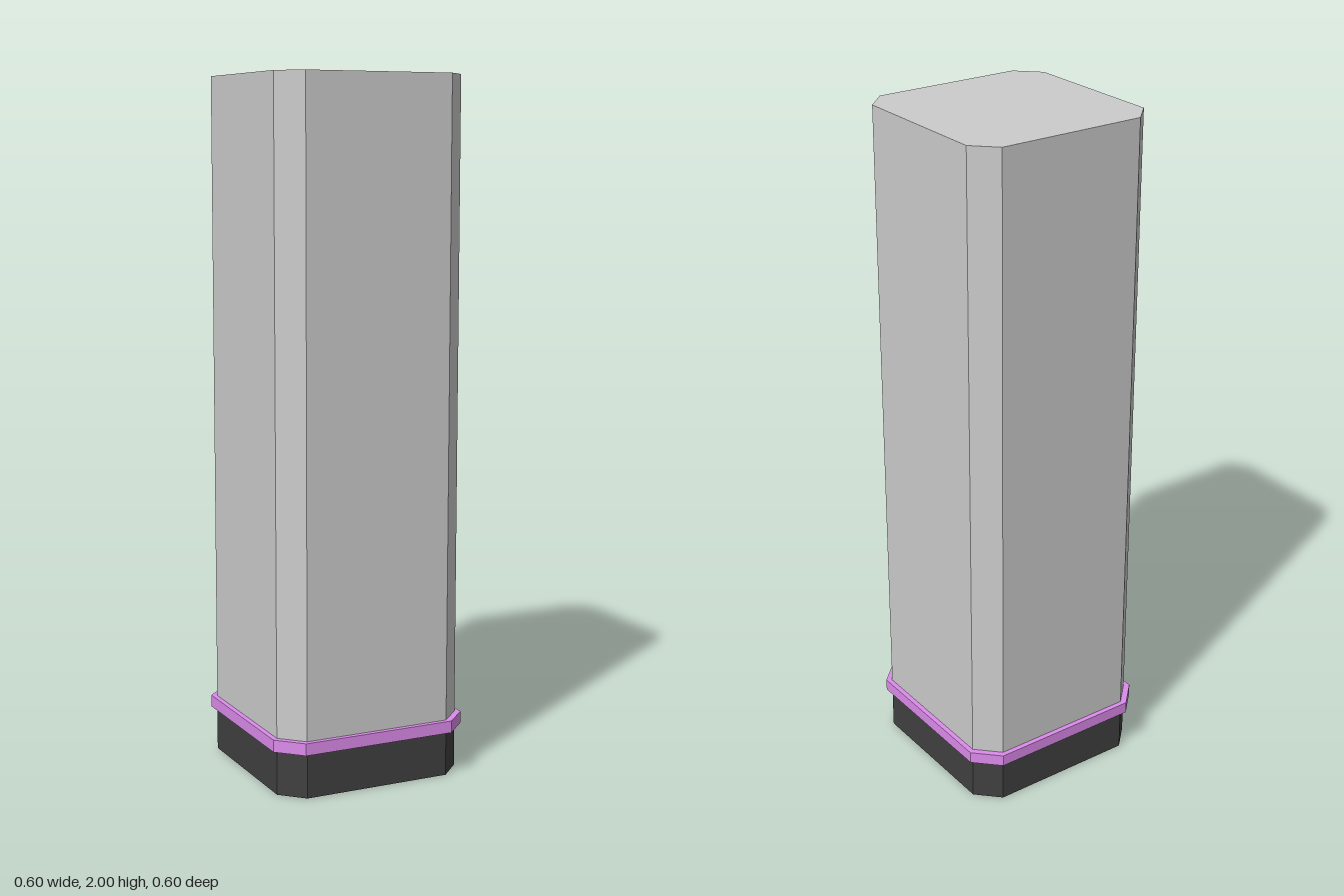
import * as THREE from 'three';

// Square with cut corners: h = half width, f = half length of the flat side
const octagon = (h, f, y) => [
  [f, h], [h, f], [h, -f], [f, -h], [-f, -h], [-h, -f], [-h, f], [-f, h],
].map(([x, z]) => [x, y, z]);

const body = (y) => octagon(0.285, 0.221, y);
const rim = (y) => octagon(0.3, 0.231, y);

// Thin shell joining a stack of cross-sections from bottom to top, with an optional lid
function shell(name, color, sections, lid = false) {
  const points = [];
  for (let s = 0; s < sections.length - 1; s++) {
    const low = sections[s], high = sections[s + 1];
    for (let i = 0; i < 8; i++) {
      const j = (i + 1) % 8;
      points.push(low[i], low[j], high[j], low[i], high[j], high[i]);
    }
  }
  if (lid) {
    const top = sections[sections.length - 1];
    for (let i = 1; i < 7; i++) points.push(top[0], top[i], top[i + 1]);
  }
  const geometry = new THREE.BufferGeometry();
  geometry.setAttribute('position', new THREE.Float32BufferAttribute(points.flat(), 3));
  geometry.computeVertexNormals();
  const mesh = new THREE.Mesh(geometry, new THREE.MeshStandardMaterial({
    color, flatShading: true, side: THREE.DoubleSide,
  }));
  mesh.name = name;
  return mesh;
}

export function createModel() {
  const model = new THREE.Group();
  model.name = 'pillar';
  const y1 = 0.13, y2 = 0.165;

  // Open-bottomed dark plinth
  model.add(shell('base', 0x404040, [body(0), body(y1)]));
  // Projecting hollow band with a ledge below and above
  model.add(shell('trimBand', 0xdc8beb, [body(y1), rim(y1), rim(y2), body(y2)]));
  // Tall hollow shaft closed at the top
  model.add(shell('shaft', 0xcccccc, [body(y2), body(2)], true));
  return model;
}
